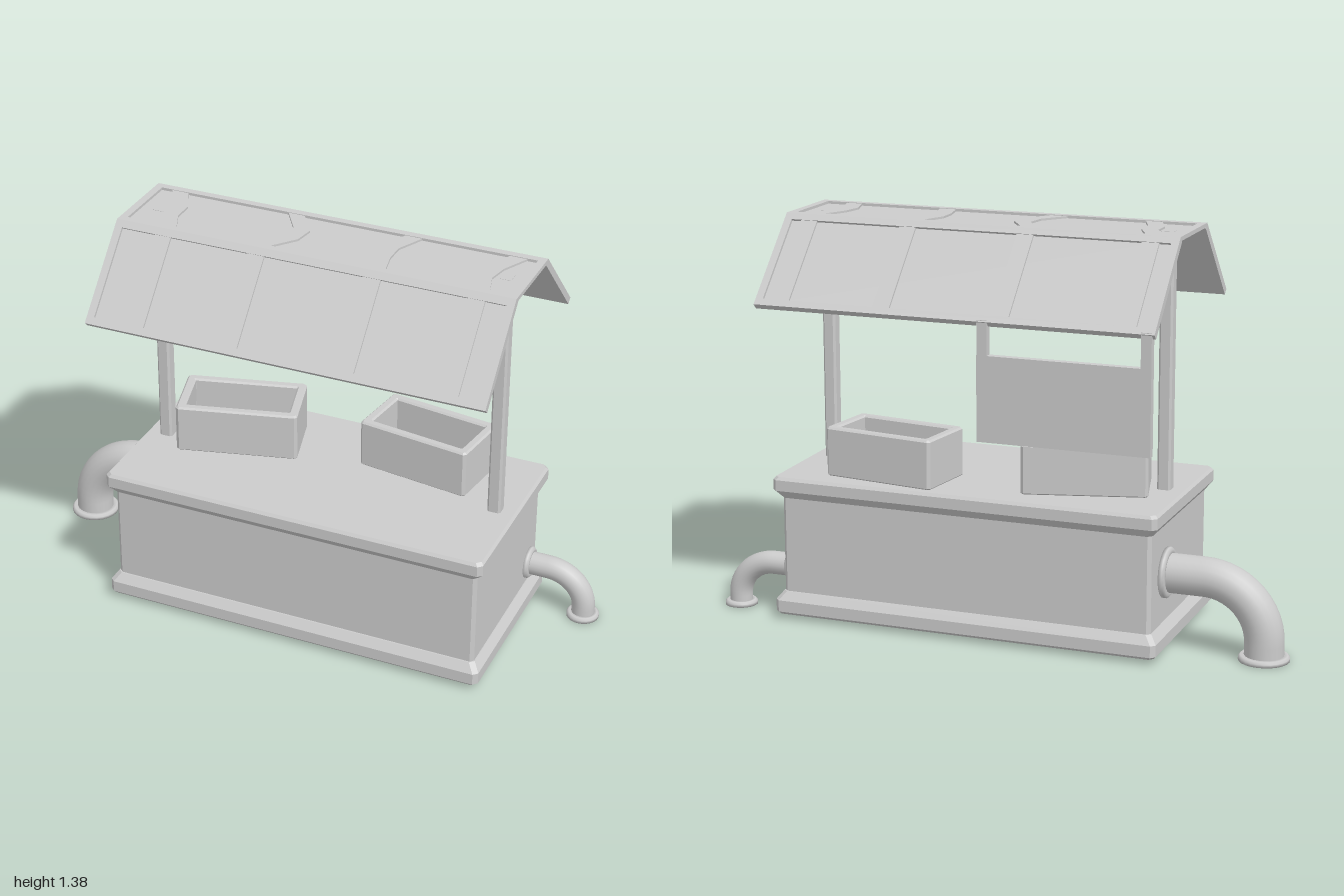
import * as THREE from 'three';
import { ConvexGeometry } from 'three/addons/geometries/ConvexGeometry.js';

const mat = new THREE.MeshStandardMaterial({ color: 0xcccccc });
const flat = new THREE.MeshStandardMaterial({ color: 0xcccccc, flatShading: true });
const thin = new THREE.MeshStandardMaterial({ color: 0xcccccc, side: THREE.DoubleSide });
const V3 = (x, y, z) => new THREE.Vector3(x, y, z);

function add(parent, name, geo, x = 0, y = 0, z = 0, material = flat) {
  const m = new THREE.Mesh(geo, material);
  m.name = name;
  m.position.set(x, y, z);
  parent.add(m);
  return m;
}

// Rectangle with cut corners, as [x, z] points
function outline(w, d, c) {
  const a = w / 2, b = d / 2;
  return [[a, b - c], [a - c, b], [c - a, b], [-a, b - c], [-a, c - b], [c - a, -b], [a - c, -b], [a, c - b]];
}

// Solid from stacked outlines; rings are [inset, y]
function stacked(w, d, c, rings) {
  const pts = [];
  for (const [inset, y] of rings)
    for (const [x, z] of outline(w - 2 * inset, d - 2 * inset, c)) pts.push(V3(x, y, z));
  return new ConvexGeometry(pts);
}

// Open planter-like crate: bevelled walls with a hole, plus a floor
function crate(parent, name, x, z, w, d, angle) {
  const g = new THREE.Group();
  g.name = name;
  g.position.set(x, 0.5, z);
  g.rotation.y = angle;
  parent.add(g);
  const b = 0.006, t = 0.026, h = 0.17;
  const shape = new THREE.Shape(outline(w - 2 * b, d - 2 * b, 0.006).map(p => new THREE.Vector2(...p)));
  shape.holes.push(new THREE.Path(outline(w - 2 * t, d - 2 * t, 0.004).map(p => new THREE.Vector2(...p)).reverse()));
  const walls = new THREE.ExtrudeGeometry(shape, { depth: h - 2 * b, bevelThickness: b, bevelSize: b, bevelSegments: 1 });
  walls.rotateX(-Math.PI / 2);
  add(g, 'crateWalls', walls, 0, b);
  add(g, 'crateFloor', new THREE.BoxGeometry(w - 0.03, 0.02, d - 0.03), 0, 0.015);
}

// Framed roof panel between two [z, y] edges; rib paths are [x, fraction along panel]
function roofPanel(parent, name, [z0, y0], [z1, y1], thickness, ribs) {
  const g = new THREE.Group();
  g.name = name;
  const W = 1.38, L = Math.hypot(z1 - z0, y1 - y0), f = 0.026;
  const up = V3(0, y1 - y0, z1 - z0).normalize(), side = V3(1, 0, 0);
  g.quaternion.setFromRotationMatrix(new THREE.Matrix4().makeBasis(side, up, side.clone().cross(up)));
  g.position.set(0.08, y0, z0);
  parent.add(g);
  const recess = 0.009;
  add(g, 'roofSheet', new THREE.BoxGeometry(W - 0.01, L - 0.004, thickness - recess), 0, L / 2, -(thickness + recess) / 2);

  const rect = (x, a, b) => [[-x, a], [x, a], [x, b], [-x, b]].map(p => new THREE.Vector2(...p));
  const frame = new THREE.Shape(rect(W / 2, 0, L));
  frame.holes.push(new THREE.Path(rect(W / 2 - f, f, L - f).reverse()));
  add(g, 'roofFrame', new THREE.ExtrudeGeometry(frame, { depth: thickness, bevelEnabled: false }), 0, 0, -thickness);

  for (const path of ribs) {
    const edge = s => path.map(([x, v]) => new THREE.Vector2(x - 0.08 + s * 0.029, f + v * (L - 2 * f)));
    const rib = new THREE.Shape([...edge(1), ...edge(-1).reverse()]);
    add(g, 'roofRib', new THREE.ExtrudeGeometry(rib, { depth: 0.008, bevelEnabled: false }), 0, 0, -recess - 0.001);
  }
}

function collar(r, outer, t) {
  const p = [[r * 0.85, 0], [outer, 0], [outer, t * 0.6], [outer - t * 0.4, t], [r * 0.85, t], [r * 0.85, 0]];
  return new THREE.LatheGeometry(p.map(q => new THREE.Vector2(...q)), 24);
}

// Elbow pipe leaving a side wall and turning down to the ground
function elbowPipe(parent, name, s, wallX, bendX, endX, y, endBend, z, r, outer) {
  const g = new THREE.Group();
  g.name = name;
  parent.add(g);
  const k = 0.55;
  const path = new THREE.CurvePath();
  path.add(new THREE.LineCurve3(V3(wallX, y, z), V3(bendX, y, z)));
  path.add(new THREE.CubicBezierCurve3(V3(bendX, y, z), V3(bendX + (endX - bendX) * k, y, z),
    V3(endX, endBend + (y - endBend) * k, z), V3(endX, endBend, z)));
  path.add(new THREE.LineCurve3(V3(endX, endBend, z), V3(endX, 0.005, z)));
  add(g, 'pipeTube', new THREE.TubeGeometry(path, 20, r, 20), 0, 0, 0, thin);
  add(g, 'groundCollar', collar(r, outer, 0.018), endX, 0, z, flat).material = thin;
  const wall = add(g, 'wallCollar', collar(r, outer, 0.02), wallX, y, z, thin);
  wall.rotation.z = -s * Math.PI / 2;
}

export function createModel() {
  const model = new THREE.Group();
  model.name = 'marketStall';
  const cx = 0.08, cz = 0.01;

  // Counter
  const counter = new THREE.Group();
  counter.name = 'counter';
  model.add(counter);
  add(counter, 'counterBody', stacked(1.31, 0.615, 0.012, [[0, 0.05], [0, 0.46]]), cx, 0, cz);
  add(counter, 'counterPlinth', stacked(1.36, 0.67, 0.015, [[0.008, 0.017], [0, 0.026], [0, 0.066], [0.022, 0.095]]), cx, 0, cz);
  add(counter, 'counterTop', stacked(1.36, 0.67, 0.015, [[0.022, 0.427], [0, 0.455], [0, 0.492], [0.008, 0.502]]), cx, 0, cz);

  // Posts
  for (const x of [-0.525, 0.685])
    add(model, 'roofPost', stacked(0.046, 0.046, 0.007, [[0, 0.49], [0, 1.367]]), x, 0, 0.012);

  // Roof: front slope, flat top, back slope
  const front = [-0.436, -0.104, 0.297, 0.645], back = [-0.515, -0.09, 0.323, 0.68];
  const mid = [[-0.47, -0.47], [-0.04, -0.03], [0.28, 0.28], [0.622, 0.635]];
  const edges = [[0.405, 1.11], [0.158, 1.375], [-0.14, 1.375], [-0.403, 1.11]];
  const roof = new THREE.Group();
  roof.name = 'roof';
  model.add(roof);
  roofPanel(roof, 'frontSlope', edges[0], edges[1], 0.024, front.map(x => [[x, 0], [x, 1]]));
  roofPanel(roof, 'flatTop', edges[1], edges[2], 0.014,
    front.map((x, i) => [[x, 0], [mid[i][0], 0.33], [mid[i][1], 0.62], [back[i], 1]]));
  roofPanel(roof, 'backSlope', edges[2], edges[3], 0.024, back.map(x => [[x, 0], [x, 1]]));

  // Sign board hanging from the back eave
  const sign = new THREE.Group();
  sign.name = 'hangingSign';
  model.add(sign);
  add(sign, 'signBoard', new THREE.BoxGeometry(0.585, 0.285, 0.026), -0.308, 0.8575, -0.387);
  for (const x of [-0.583, -0.034])
    add(sign, 'signStrap', new THREE.BoxGeometry(0.035, 0.12, 0.026), x, 1.055, -0.387);

  // Crates on the counter
  crate(model, 'rightCrate', -0.275, -0.063, 0.42, 0.235, 0.26);
  crate(model, 'leftCrate', 0.38, -0.152, 0.405, 0.23, -0.14);

  // Pipes
  elbowPipe(model, 'largePipe', -1, -0.575, -0.71, -0.915, 0.26, 0.06, -0.135, 0.066, 0.085);
  elbowPipe(model, 'smallPipe', 1, 0.732, 0.81, 0.942, 0.163, 0.04, -0.217, 0.04, 0.056);
  return model;
}
